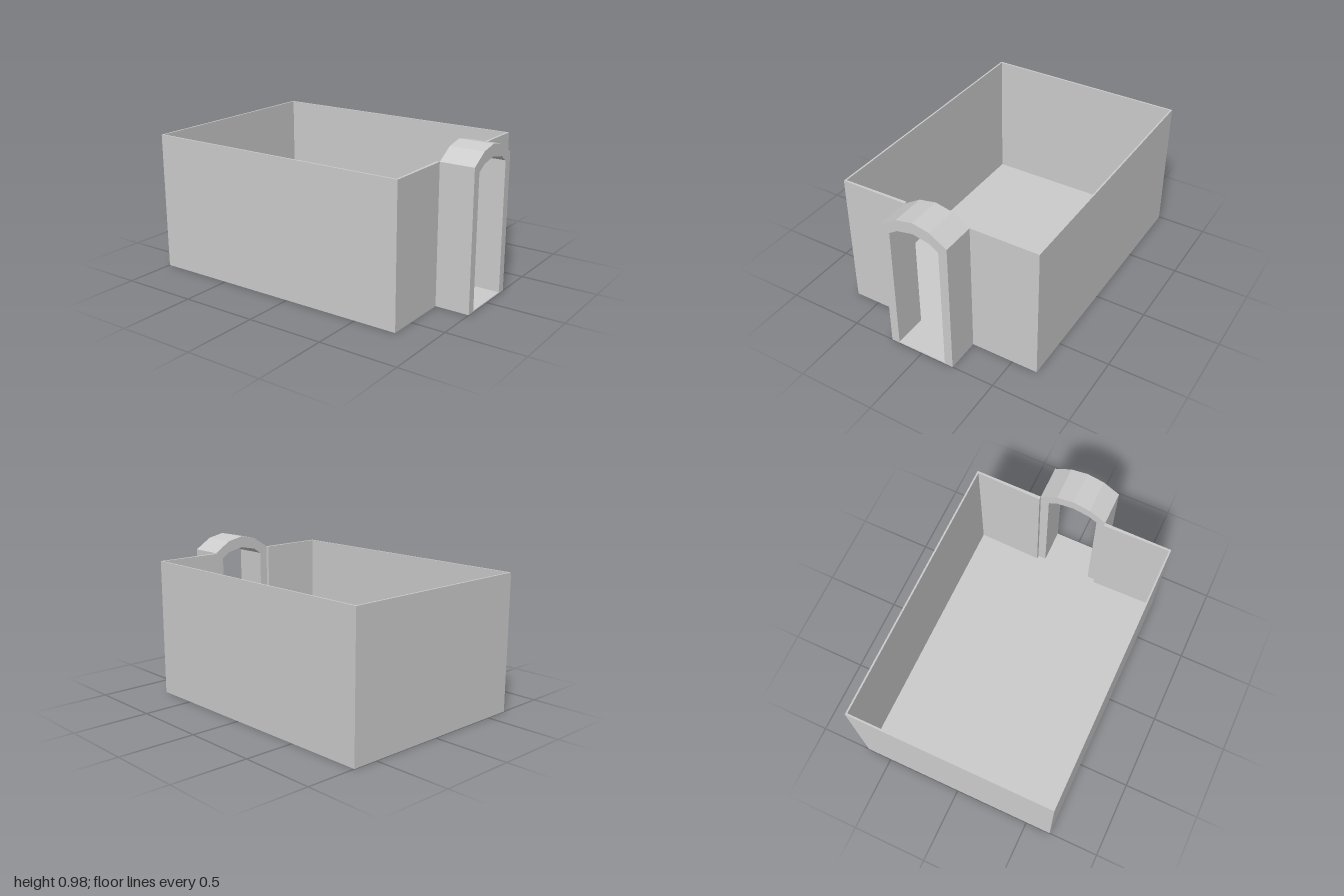
import * as THREE from 'three';

const FLOOR = 0.008, WALL_TOP = 0.89, ROOM_X = 0.777, DEPTH = 0.667, END_X = 1;
const material = new THREE.MeshStandardMaterial({ color: 0xcccccc, flatShading: true });

// Closes a half outline by mirroring its second coordinate.
const mirrorY = (pts) => [...pts, ...pts.map(([a, b]) => [a, -b]).reverse()];

function extrude(name, pts, depth) {
  const shape = new THREE.Shape(pts.map(([a, b]) => new THREE.Vector2(a, b)));
  const geometry = new THREE.ExtrudeGeometry(shape, { depth, bevelEnabled: false });
  const mesh = new THREE.Mesh(geometry, material);
  mesh.name = name;
  return mesh;
}

// Raises a floor plan of (x, z) points from y0 to y1.
function raisePlan(name, pts, y0, y1) {
  const mesh = extrude(name, pts, y1 - y0);
  mesh.geometry.rotateX(-Math.PI / 2).translate(0, y0, 0);
  return mesh;
}

export function createModel() {
  const model = new THREE.Group();
  model.name = 'roomWithArchedEntrance';

  // Floor slab, with a tongue running through the entrance
  const floorPlan = mirrorY([[END_X, 0.167], [ROOM_X, 0.167], [ROOM_X, DEPTH], [-1, DEPTH]]);
  model.add(raisePlan('floor', floorPlan, 0, FLOOR));

  // Thin walls, open at the top and broken at the entrance
  const wallPlan = [
    [ROOM_X, 0.222], [ROOM_X, DEPTH], [-1, DEPTH], [-1, -DEPTH], [ROOM_X, -DEPTH], [ROOM_X, -0.222],
    [0.755, -0.222], [0.764, -0.656], [-0.988, -0.656], [-0.988, 0.656], [0.764, 0.656], [0.755, 0.222],
  ];
  model.add(raisePlan('walls', wallPlan, FLOOR, WALL_TOP));

  // Faceted arch forming the entrance passage
  const outer = [[0.222, 0], [0.222, WALL_TOP], [0.111, 0.96], [0, 0.983]];
  const inner = [[0.167, 0], [0.165, 0.848], [0.11, 0.885], [0, 0.907]];
  const span = (half) => [...half, ...half.slice(0, -1).reverse().map(([z, y]) => [-z, y])];
  const arch = extrude('entranceArch', [...span(outer), ...span(inner).reverse()], END_X - ROOM_X);
  arch.geometry.rotateY(Math.PI / 2).translate(ROOM_X, 0, 0);
  model.add(arch);

  return model;
}
